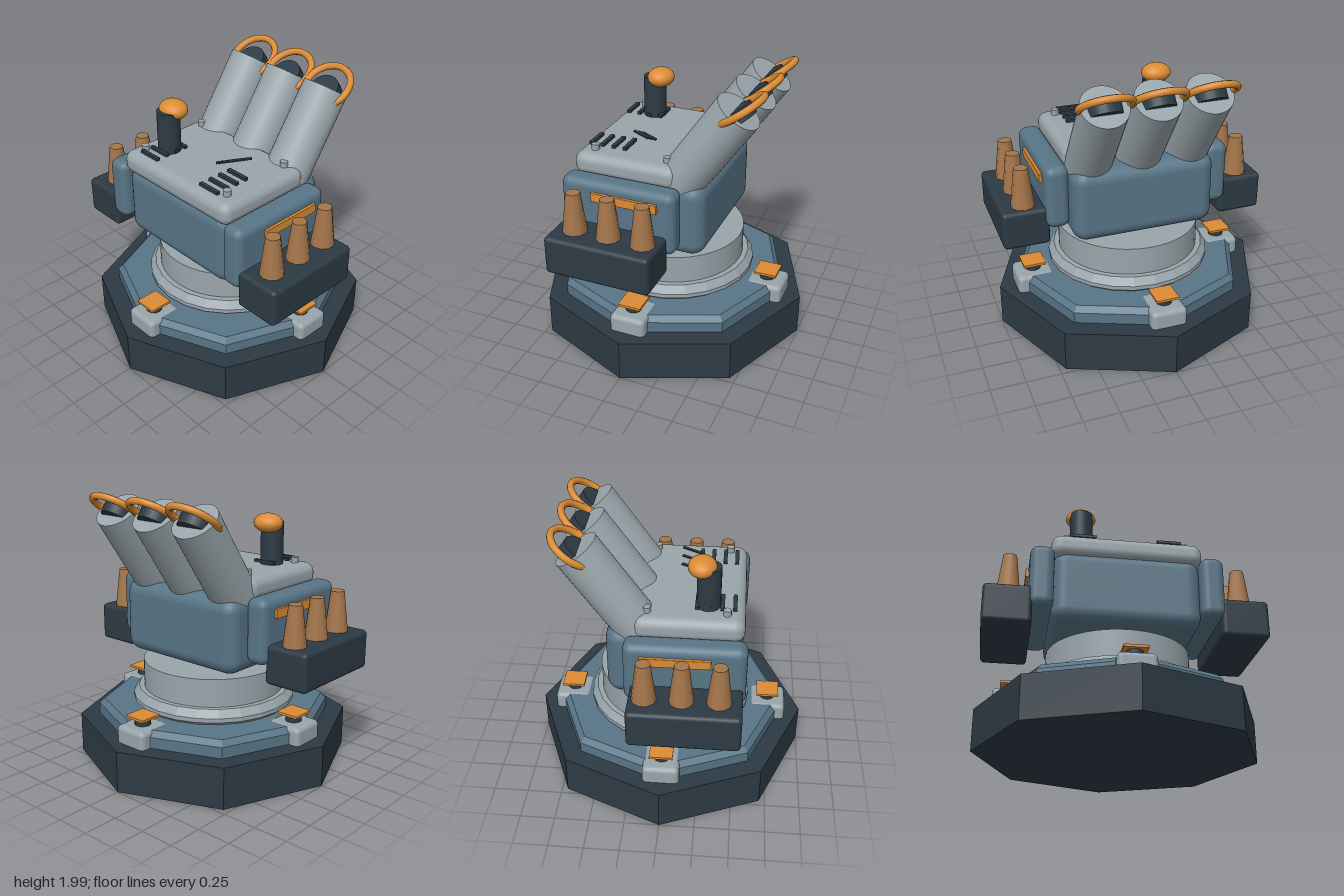
import * as THREE from 'three';
import { RoundedBoxGeometry } from 'three/addons/geometries/RoundedBoxGeometry.js';

const mat = (color, flatShading = false) => new THREE.MeshStandardMaterial({ color, flatShading });
const DARK = mat(0x2d3a44), DARK_FLAT = mat(0x2d3a44, true);
const BLUE = mat(0x587586), BLUE_FLAT = mat(0x587586, true);
const GREY = mat(0x99a5ab), GREY_FLAT = mat(0x99a5ab, true);
const ORANGE = mat(0xdc8c34), BROWN = mat(0xa5764a);

export function createModel() {
  const model = new THREE.Group();
  model.name = 'launcherTurret';

  const add = (name, geometry, material, x = 0, y = 0, z = 0, parent = model) => {
    const mesh = new THREE.Mesh(geometry, material);
    mesh.name = name;
    mesh.position.set(x, y, z);
    parent.add(mesh);
    return mesh;
  };
  // Rounded box given by its lower and upper limits
  const block = (name, material, [x0, x1], [y0, y1], [z0, z1], r, parent = model) =>
    add(name, new RoundedBoxGeometry(x1 - x0, y1 - y0, z1 - z0, 3, r), material,
      (x0 + x1) / 2, (y0 + y1) / 2, (z0 + z1) / 2, parent);
  const cyl = (rTop, rBottom, h, n) => new THREE.CylinderGeometry(rTop, rBottom, h, n);

  // Octagonal base with a bevelled deck
  add('base', cyl(1, 1, 0.3, 8), DARK_FLAT, 0, 0.15);
  add('deck', cyl(0.86, 0.86, 0.08, 8), BLUE_FLAT, 0, 0.34);
  add('deckBevel', cyl(0.82, 0.86, 0.04, 8), BLUE_FLAT, 0, 0.4);

  // Bearing ring and turning drum
  const ringProfile = [[0.5, 0.41], [0.57, 0.42], [0.6, 0.445], [0.6, 0.475], [0.56, 0.53], [0.5, 0.53]]
    .map(([r, y]) => new THREE.Vector2(r, y));
  add('bearingRing', new THREE.LatheGeometry(ringProfile, 24), GREY_FLAT);
  add('drum', cyl(0.52, 0.52, 0.32, 48), GREY, 0, 0.575);

  // Four clamps around the deck
  for (let i = 0; i < 4; i++) {
    const clamp = new THREE.Group();
    clamp.name = 'clamp';
    clamp.rotation.y = i * Math.PI / 2;
    model.add(clamp);
    block('clampBlock', GREY, [-0.13, 0.13], [0.26, 0.425], [0.61, 0.88], 0.035, clamp);
    add('clampStem', cyl(0.057, 0.057, 0.06, 16), DARK, 0, 0.45, 0.745, clamp);
    add('clampPlate', new THREE.BoxGeometry(0.165, 0.018, 0.165), ORANGE, 0, 0.484, 0.745, clamp);
  }

  // Turret body and lid
  block('body', BLUE, [-0.52, 0.52], [0.78, 1.32], [-0.41, 0.53], 0.1);
  block('lid', GREY, [-0.535, 0.535], [1.27, 1.44], [-0.22, 0.54], 0.07);

  // Side pods, ammunition boxes and shells
  for (const s of [-1, 1]) {
    const span = (a, b) => [Math.min(s * a, s * b), Math.max(s * a, s * b)];
    block('sidePod', BLUE, span(0.51, 0.68), [0.86, 1.325], [-0.27, 0.565], 0.06);
    block('podStripe', ORANGE, span(0.66, 0.7), [1.185, 1.25], [-0.155, 0.325], 0.003);
    block('ammoBox', DARK, span(0.65, 0.985), [0.73, 1.01], [-0.22, 0.545], 0.03);
    for (const z of [-0.11, 0.14, 0.39])
      add('shell', cyl(0.05, 0.088, 0.31, 10), BROWN, s * 0.815, 1.145, z);

    // Lid bolts and vent slats
    for (const z of [-0.125, 0.415]) add('bolt', cyl(0.028, 0.028, 0.05, 12), GREY, s * 0.42, 1.455, z);
    for (const z of [0.21, 0.295, 0.38, 0.465])
      add('ventSlat', new THREE.BoxGeometry(0.175, 0.02, 0.028), DARK, s * 0.305, 1.462, z);
  }

  // Three diagonal bars stepping upwards
  for (let i = 0; i < 3; i++) {
    const bar = add('diagonalBar', new THREE.BoxGeometry(0.022, 0.01, 0.16), DARK,
      0.135 + i * 0.063, 1.465 + i * 0.032, 0.14);
    bar.rotation.y = -0.5;
  }

  // Launch tubes leaning back, each with a bore plug and a hoop
  const lean = 0.607;
  for (const x of [-0.36, 0, 0.36]) {
    const tube = add('launchTube', cyl(0.163, 0.163, 0.9, 40), GREY, x, 1.49, -0.333);
    tube.rotation.x = -lean;
    const bore = add('borePlug', cyl(0.115, 0.115, 0.08, 24), DARK, x, 1.833, -0.583);
    bore.rotation.x = lean;
    const hoop = add('muzzleHoop', new THREE.TorusGeometry(0.172, 0.025, 8, 32), ORANGE, x, 1.872, -0.603);
    hoop.rotation.x = lean - Math.PI / 2;
  }

  // Sensor mast with its domed head
  add('sensorMast', cyl(0.083, 0.083, 0.32, 24), DARK, -0.31, 1.585, 0.285);
  const head = add('sensorHead', new THREE.SphereGeometry(1, 24, 16), ORANGE, -0.31, 1.74, 0.237);
  head.scale.set(0.11, 0.07, 0.098);

  return model;
}
